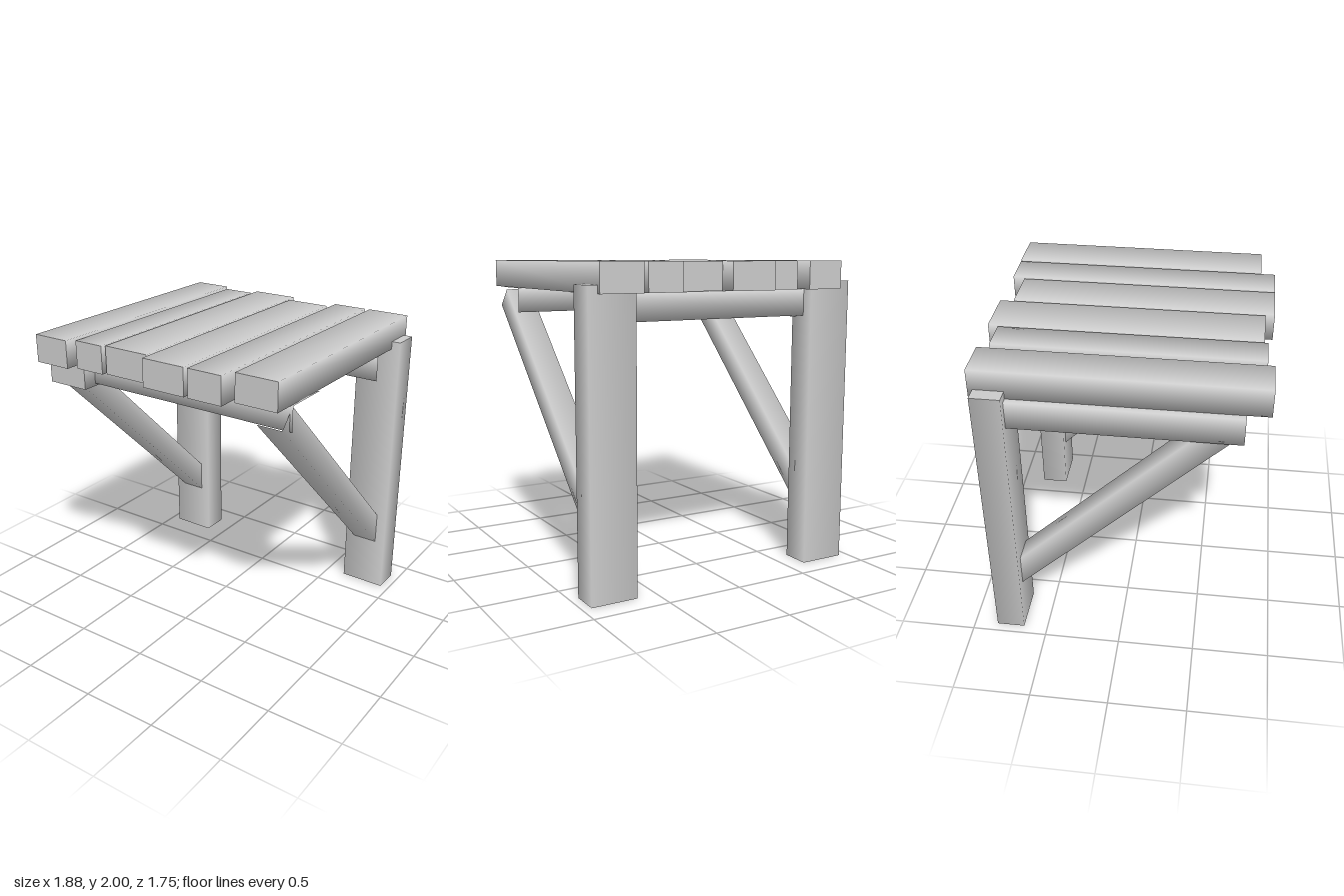
import * as THREE from 'three';

const material = new THREE.MeshStandardMaterial({ color: 0xcccccc });

// Square bar along y with softly shaded sides; caps are optional.
function barGeometry(width, length, depth, open) {
  const r = Math.SQRT1_2;
  return new THREE.CylinderGeometry(r, r, 1, 4, 1, open)
    .rotateY(Math.PI / 4)
    .scale(width, length, depth);
}

// Bar filling the given ranges, with its length along the given axis.
function bar(name, [x0, x1], [y0, y1], [z0, z1], axis, open = false) {
  const w = x1 - x0, h = y1 - y0, d = z1 - z0;
  let geometry;
  if (axis === 'x') geometry = barGeometry(h, w, d, open).rotateZ(-Math.PI / 2);
  else if (axis === 'z') geometry = barGeometry(w, d, h, open).rotateX(Math.PI / 2);
  else geometry = barGeometry(w, h, d, open);
  const mesh = new THREE.Mesh(geometry, material);
  mesh.name = name;
  mesh.position.set((x0 + x1) / 2, (y0 + y1) / 2, (z0 + z1) / 2);
  return mesh;
}

// Diagonal strut between two points in the y-z plane.
function brace(name, x, [y0, z0], [y1, z1]) {
  const dy = y1 - y0, dz = z1 - z0;
  const mesh = new THREE.Mesh(barGeometry(0.17, Math.hypot(dy, dz), 0.156, true), material);
  mesh.name = name;
  mesh.position.set(x, (y0 + y1) / 2, (z0 + z1) / 2);
  mesh.rotation.x = Math.atan2(dz, dy);
  return mesh;
}

export function createModel() {
  const model = new THREE.Group();
  model.name = 'plankTable';

  // Uneven top planks: x range, z range
  const planks = [
    [-0.85, -0.595, -0.875, 0.87],
    [-0.55, -0.342, -0.81, 0.83],
    [-0.325, -0.01, -0.875, 0.81],
    [0.01, 0.308, -0.79, 0.87],
    [0.336, 0.568, -0.87, 0.87],
    [0.598, 0.88, -0.875, 0.78],
  ];
  planks.forEach(([x0, x1, z0, z1], i) =>
    model.add(bar(`plank${i + 1}`, [x0, x1], [1.82, 2], [z0, z1], 'z')));

  // Cross beams under the planks, hollow at the ends
  model.add(bar('frontBeam', [-0.8, 0.89], [1.657, 1.818], [0.335, 0.63], 'x', true));
  model.add(bar('backBeam', [-0.8, 0.88], [1.65, 1.818], [-0.77, -0.46], 'x', true));

  // Single side rail
  model.add(bar('sideRail', [-0.89, -0.595], [1.64, 1.819], [-0.7, 0.727], 'z'));

  // Back legs, each with a diagonal brace
  for (const [side, s] of [['left', 1], ['right', -1]]) {
    const x = s * 0.787;
    model.add(bar(`${side}Leg`, [x - 0.153, x + 0.153], [0, 1.87], [-0.845, -0.66], 'y'));
    model.add(brace(`${side}Brace`, s * 0.785, [0.377, -0.75], [1.745, 0.655]));
  }
  return model;
}
